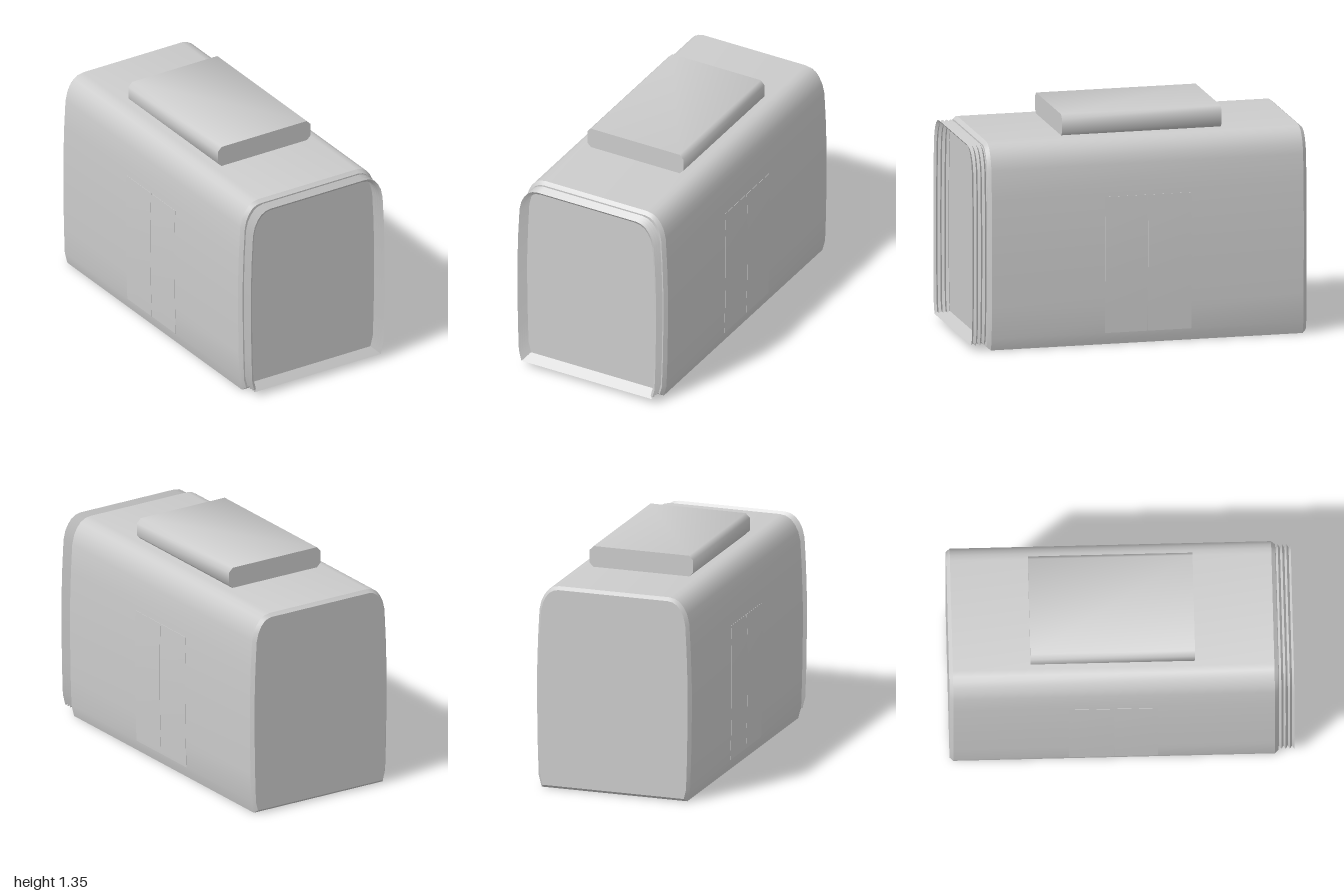
import * as THREE from 'three';
import { toCreasedNormals } from 'three/addons/utils/BufferGeometryUtils.js';

// Right half of the carriage cross-section, from sill to roof
const HALF = [
  [0.45, 0], [0.468, 0.07], [0.474, 0.25], [0.478, 0.5], [0.478, 0.7], [0.472, 0.9],
  [0.463, 1.07], [0.45, 1.125], [0.43, 1.165], [0.405, 1.195], [0.375, 1.213], [0.34, 1.22],
];
const SECTION = [...HALF, ...HALF.map(([x, y]) => [-x, y]).reverse()];

const toShape = (pts) => new THREE.Shape(pts.map(([x, y]) => new THREE.Vector2(x, y)));

// Half-width of the side wall at height y
function wallX(y) {
  const i = HALF.findIndex((p) => p[1] >= y);
  const [x0, y0] = HALF[i - 1], [x1, y1] = HALF[i];
  return x0 + (x1 - x0) * (y - y0) / (y1 - y0);
}

// Folded sleeve made of alternating large and small rings
function bellowsGeometry() {
  const rings = 9, n = SECTION.length, pos = [], index = [];
  for (let r = 0; r < rings; r++) {
    const fold = r % 2 ? 0.032 : 0.016;
    const sx = (0.478 - fold) / 0.478, low = fold + 0.014, high = 1.22 - fold;
    for (const [x, y] of SECTION) {
      pos.push(x * sx, low + (y / 1.22) * (high - low), 0.9 + 0.1 * r / (rings - 1));
    }
  }
  for (let r = 0; r < rings - 1; r++) {
    for (let i = 0; i < n; i++) {
      const a = r * n + i, b = r * n + (i + 1) % n;
      index.push(a, b, b + n, a, b + n, a + n);
    }
  }
  const g = new THREE.BufferGeometry();
  g.setAttribute('position', new THREE.Float32BufferAttribute(pos, 3));
  g.setIndex(index);
  return toCreasedNormals(g, 0.6);
}

// Thin door leaf that follows the curve of the side wall
function doorGeometry(length) {
  const heights = [0.07, 0.25, 0.5, 0.7, 0.88];
  const outer = heights.map((y) => [wallX(y) + 0.002, y]);
  const inner = heights.map((y) => [wallX(y) - 0.004, y]).reverse();
  const g = new THREE.ExtrudeGeometry(toShape([...outer, ...inner]), { depth: length, bevelEnabled: false });
  return toCreasedNormals(g, 0.6);
}

export function createModel() {
  const group = new THREE.Group();
  const grey = new THREE.MeshStandardMaterial({ color: 0xcccccc, side: THREE.DoubleSide });
  grey.name = 'light grey';

  const add = (name, geometry, z = 0) => {
    const mesh = new THREE.Mesh(geometry, grey);
    mesh.name = name;
    mesh.position.z = z;
    group.add(mesh);
    return mesh;
  };

  // Carriage body with small bevels at both ends
  const body = new THREE.ExtrudeGeometry(toShape(SECTION), {
    depth: 1.865, bevelThickness: 0.022, bevelSize: 0.018, bevelOffset: -0.018, bevelSegments: 1,
  });
  add('carriageBody', toCreasedNormals(body, 0.65), -0.978);

  // Gangway sleeve at the front
  add('gangwayBellows', bellowsGeometry());

  // Roof unit with rounded edges
  const w = 0.32, b = 1.218, t = 1.345, c = 0.026;
  const unit = new THREE.ExtrudeGeometry(toShape([
    [w - c, b], [w, b + c], [w, t - c], [w - c, t], [c - w, t], [-w, t - c], [-w, b + c], [c - w, b],
  ]), { depth: 0.955, bevelEnabled: false });
  add('roofUnit', toCreasedNormals(unit, 0.9), -0.527);

  // Pairs of door leaves on both sides
  for (const side of ['left', 'right']) {
    [['Front', -0.044, 0.254], ['Rear', -0.307, 0.26]].forEach(([part, z, length]) => {
      const geometry = doorGeometry(length);
      if (side === 'right') geometry.rotateY(Math.PI).translate(0, 0, length);
      add(`${side}${part}Door`, geometry, z);
    });
  }
  return group;
}
